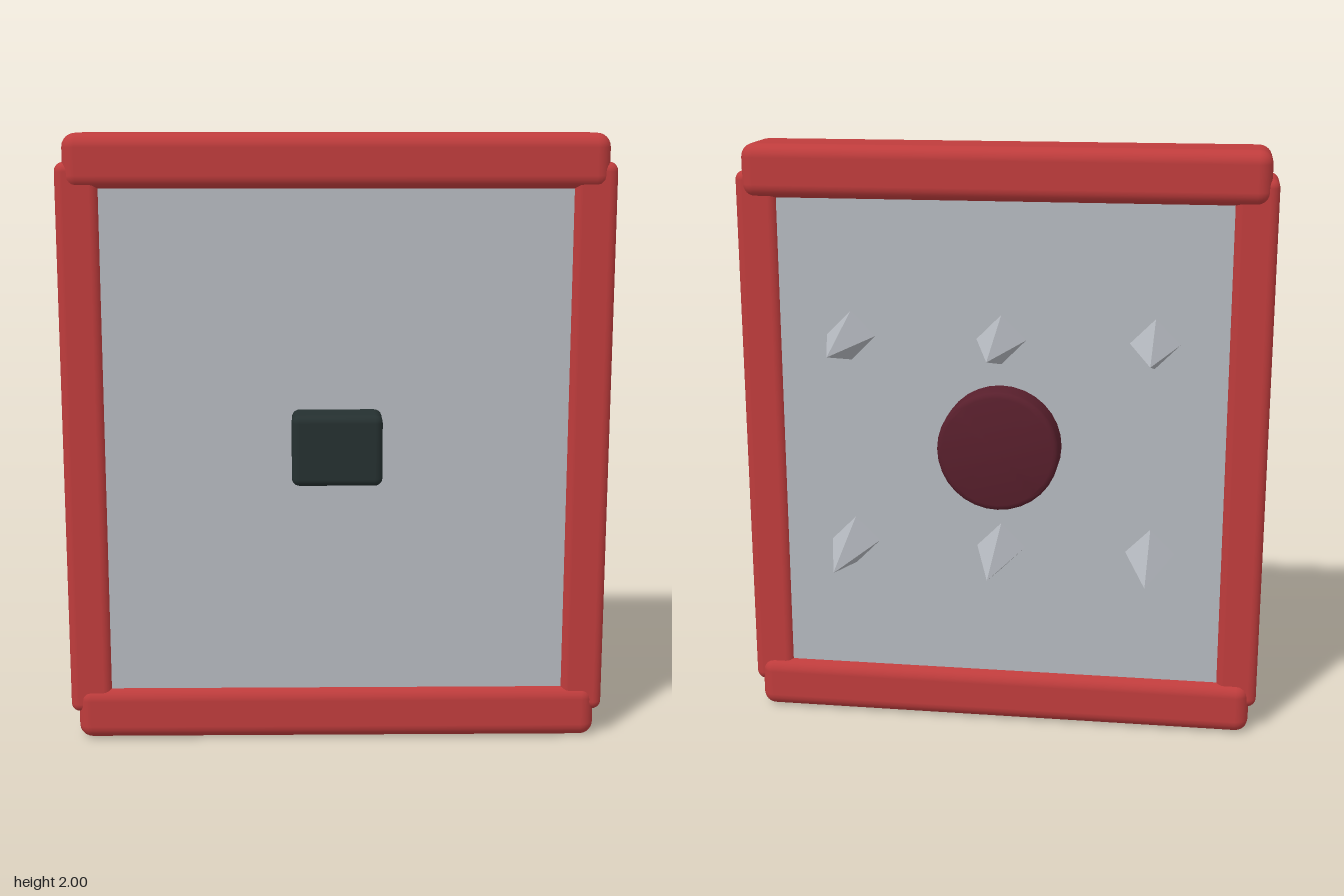
import * as THREE from 'three';
import { RoundedBoxGeometry } from 'three/addons/geometries/RoundedBoxGeometry.js';
import { toCreasedNormals } from 'three/addons/utils/BufferGeometryUtils.js';

const mat = (name, color) => {
  const m = new THREE.MeshStandardMaterial({ color });
  m.name = name;
  return m;
};

export function createModel() {
  const red = mat('frame red', 0xbe3c3c);
  const steel = mat('steel grey', 0xb4b8be);
  const dark = mat('grip black', 0x253030);
  const maroon = mat('boss maroon', 0x581f2c);

  const group = new THREE.Group();
  group.name = 'spikedShield';
  const add = (name, geometry, material, x, y, z) => {
    const mesh = new THREE.Mesh(geometry, material);
    mesh.name = name;
    mesh.position.set(x, y, z);
    group.add(mesh);
  };

  // Central plate
  add('plate', new THREE.BoxGeometry(1.56, 1.76, 0.2), steel, 0, 1, 0.105);

  // Frame: side rails tucked between slightly thicker end rails
  const sideRail = new RoundedBoxGeometry(0.142, 1.82, 0.23, 3, 0.03);
  const endRail = new RoundedBoxGeometry(1.73, 0.178, 0.26, 3, 0.045);
  for (const s of [-1, 1]) {
    add(s > 0 ? 'leftRail' : 'rightRail', sideRail, red, s * 0.819, 1, 0.105);
    add(s > 0 ? 'topRail' : 'bottomRail', endRail, red, 0, 1 + s * 0.911, 0.1);
  }

  // Front block
  add('gripBlock', new RoundedBoxGeometry(0.29, 0.23, 0.25, 3, 0.025), dark, 0, 1.005, 0.205);

  // Round boss on the back, with a softened rim
  const R = 0.205, H = 0.155, b = 0.02;
  const profile = [new THREE.Vector2(R, 0)];
  for (let i = 0; i <= 3; i++) {
    const a = (i / 3) * Math.PI / 2;
    profile.push(new THREE.Vector2(R - b + b * Math.cos(a), H - b + b * Math.sin(a)));
  }
  profile.push(new THREE.Vector2(0, H));
  const boss = toCreasedNormals(new THREE.LatheGeometry(profile, 32), 0.6);
  boss.rotateX(-Math.PI / 2);
  add('boss', boss, maroon, 0, 1.005, 0.055);

  // Four-sided spikes pointing backwards, in two rows of three
  const spike = new THREE.ConeGeometry(0.084, 0.34, 4, 1).toNonIndexed();
  spike.computeVertexNormals();
  spike.rotateX(-Math.PI / 2);
  for (const y of [0.64, 1.366])
    for (const x of [-0.51, 0, 0.51]) add('spike', spike, steel, x, y, -0.163);

  return group;
}
